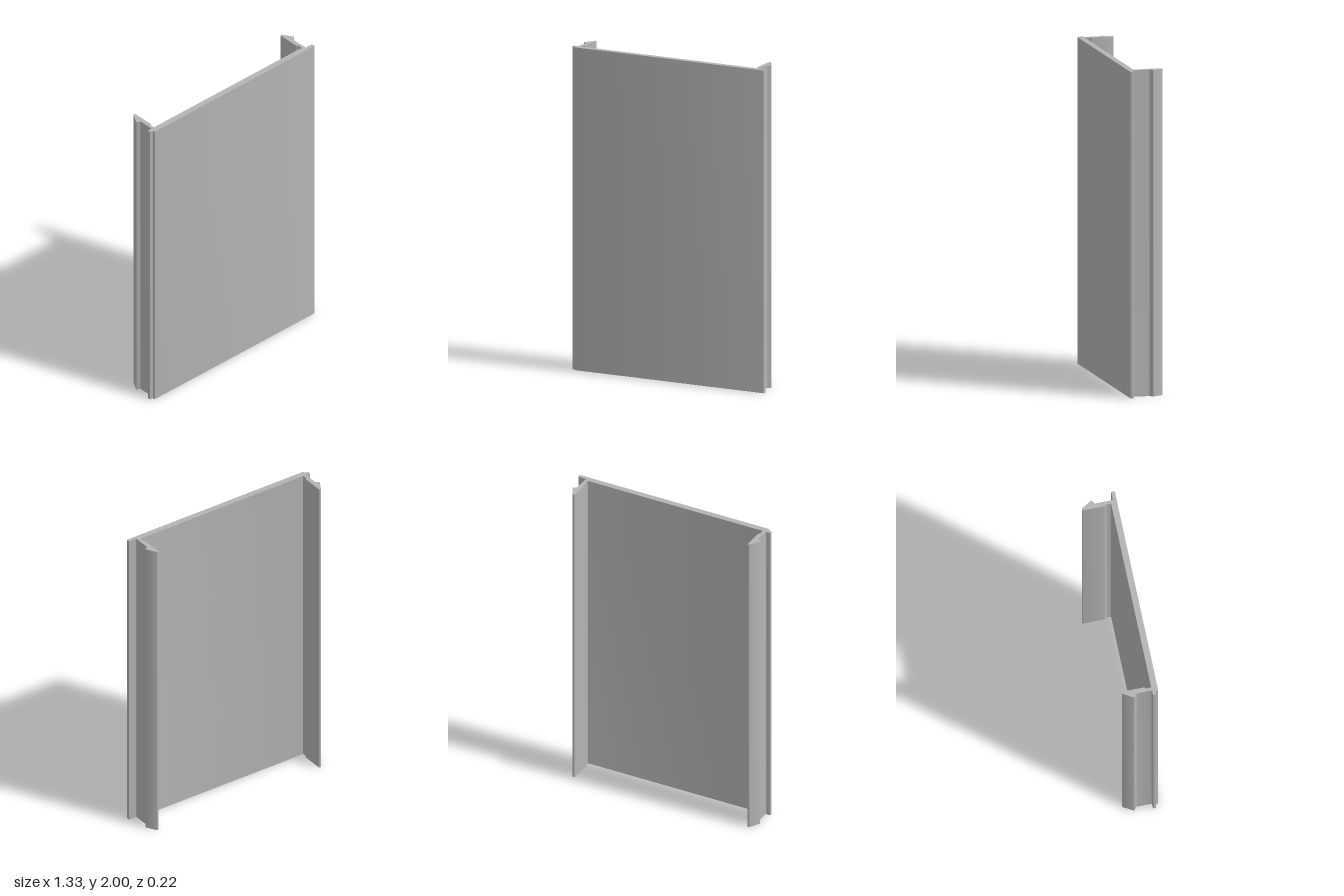
import * as THREE from 'three';
import { toCreasedNormals } from 'three/addons/utils/BufferGeometryUtils.js';

const HEIGHT = 2;

// Snap clip, from the panel's outer side round to its inner side.
// Each entry is [distance outwards from the clip's inner face, z, corner radius].
const CLIP = [
  [0.029, 0.071, 0.006],
  [0.029, -0.026, 0.006],
  [0.053, -0.041, 0.006],
  [0.013, -0.109, 0.007],
  [0, -0.109, 0.006],
  [0, 0.034, 0.005],
  [0.009, 0.039, 0.004],
  [0.009, 0.071, 0.004],
];
const clip = (side, innerX, outerZ) => CLIP.map(([d, z, r], i) => [side * (innerX + d), i ? z : outerZ, r]);

// Closed outline with a rounded corner at every point [x, z, radius]
function roundedOutline(points) {
  const shape = new THREE.Shape();
  const corners = points.map(([x, z]) => new THREE.Vector2(x, -z));
  corners.forEach((p, i) => {
    const prev = corners[(i + corners.length - 1) % corners.length];
    const next = corners[(i + 1) % corners.length];
    const toward = (q) => p.clone().add(q.clone().sub(p).setLength(Math.min(points[i][2], p.distanceTo(q) * 0.48)));
    const a = toward(prev);
    const b = toward(next);
    if (i === 0) shape.moveTo(a.x, a.y);
    else shape.lineTo(a.x, a.y);
    shape.quadraticCurveTo(p.x, p.y, b.x, b.y);
  });
  shape.closePath();
  return shape;
}

export function createModel() {
  const grey = new THREE.MeshStandardMaterial({ color: 0xb4b4b4 });
  grey.name = 'grey';

  const outline = roundedOutline([
    // front face and the flush lip on the left
    [-0.643, 0.109, 0.008],
    [0.665, 0.109, 0.005],
    [0.665, 0.086, 0.005],
    // left clip, then back of the panel, then right clip
    ...clip(1, 0.583, 0.086),
    ...clip(-1, 0.606, 0.071).reverse(),
    // recessed lip on the right
    [-0.666, 0.071, 0.005],
    [-0.666, 0.091, 0.005],
    [-0.643, 0.093, 0.006],
  ]);

  // Constant cross-section carried up the full height
  const geometry = new THREE.ExtrudeGeometry(outline, { depth: HEIGHT, bevelEnabled: false, curveSegments: 5 });
  geometry.rotateX(-Math.PI / 2);

  const panel = new THREE.Mesh(toCreasedNormals(geometry, 0.5), grey);
  panel.name = 'clipOnPanel';

  const group = new THREE.Group();
  group.name = 'coverProfile';
  group.add(panel);
  return group;
}
